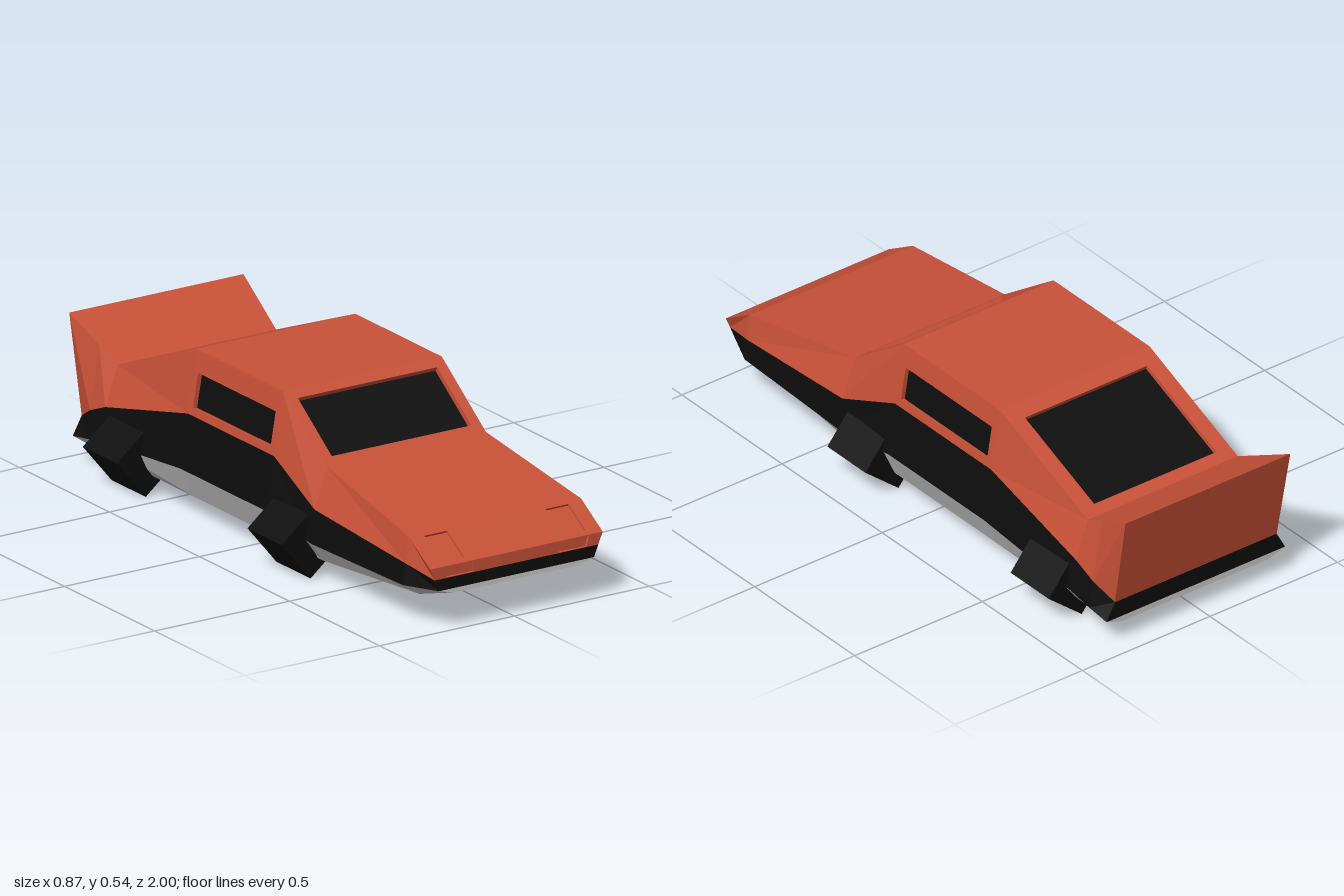
import * as THREE from 'three';

const X0 = 0.008; // body sits a hair off the centre line

// Cross-sections, nose to tail: z, then [half width, y] for
// sill edge, belt bottom, belt top, roof edge
const SECTIONS = [
  [1.0, [0.23, 0.12], [0.288, 0.135], [0.303, 0.173], [0.32, 0.212]],
  [0.88, [0.28, 0.09], [0.34, 0.13], [0.332, 0.2], [0.32, 0.285]],
  [0.39, [0.31, 0.062], [0.354, 0.125], [0.342, 0.235], [0.294, 0.365]],
  [0.145, [0.31, 0.062], [0.355, 0.16], [0.328, 0.335], [0.294, 0.54]],
  [-0.335, [0.31, 0.062], [0.355, 0.16], [0.328, 0.335], [0.294, 0.54]],
  [-0.775, [0.31, 0.062], [0.355, 0.12], [0.34, 0.23], [0.294, 0.36]],
  [-0.86, [0.31, 0.062], [0.355, 0.105], [0.34, 0.195], [0.305, 0.4016]],
  [-0.94, [0.29, 0.07], [0.35, 0.09], [0.317, 0.15], [0.323, 0.47]],
];
const SILL = 0, BELT_LOW = 1, BELT_TOP = 2, ROOF = 3, TAIL = 7;

// Point on the body: section i, line k, side s (+1 / -1)
function P(i, k, s) {
  const [h, y] = SECTIONS[i][k + 1];
  const z = i === TAIL && k === ROOF ? -1 : SECTIONS[i][0]; // tail lip leans back
  return new THREE.Vector3(X0 + s * h, y, z);
}

// Collects flat quads, corners counter-clockwise from outside
class Faces {
  constructor() { this.pos = []; }
  quad(a, b, c, d) {
    for (const p of [a, b, c, a, c, d]) this.pos.push(p.x, p.y, p.z);
  }
  sideQuad(s, a, b, c, d) {
    if (s > 0) this.quad(a, b, c, d);
    else this.quad(a, d, c, b);
  }
  mesh(name, material) {
    const g = new THREE.BufferGeometry();
    g.setAttribute('position', new THREE.Float32BufferAttribute(this.pos, 3));
    g.computeVertexNormals();
    const m = new THREE.Mesh(g, material);
    m.name = name;
    return m;
  }
}

// Panel (bottom left, bottom right, top right, top left) with a recessed opening
function recessedPanel(frame, pane, corners, [u0, u1, v0, v1], depth) {
  const [a, b, c, d] = corners;
  const at = (u, v) => a.clone().lerp(b, u).lerp(d.clone().lerp(c, u), v);
  const normal = c.clone().sub(a).cross(d.clone().sub(b)).normalize();
  const hole = [at(u0, v0), at(u1, v0), at(u1, v1), at(u0, v1)];
  const back = hole.map((p) => p.clone().addScaledVector(normal, -depth));
  for (let i = 0; i < 4; i++) {
    const j = (i + 1) % 4;
    frame.quad(corners[i], corners[j], hole[j], hole[i]);
    frame.quad(hole[i], hole[j], back[j], back[i]);
  }
  pane.quad(...back);
}

export function createModel() {
  const paint = new THREE.MeshStandardMaterial({ color: 0xc95138, flatShading: true });
  const black = new THREE.MeshStandardMaterial({ color: 0x0d0d0d, flatShading: true });
  const grey = new THREE.MeshStandardMaterial({ color: 0xcccccc, flatShading: true });
  const shell = new Faces(), belt = new Faces(), sills = new Faces();
  const floor = new Faces(), glass = new Faces(), lights = new Faces();

  for (let i = 0; i < TAIL; i++) {
    const j = i + 1;
    // Sides: sill, belt and painted upper body
    for (const s of [1, -1]) {
      const strip = (faces, k) =>
        faces.sideQuad(s, P(i, k, s), P(j, k, s), P(j, k + 1, s), P(i, k + 1, s));
      strip(sills, SILL);
      strip(belt, BELT_LOW);
      if (i === 3) { // cabin side window
        const [f, r] = s > 0 ? [i, j] : [j, i];
        recessedPanel(shell, glass,
          [P(f, BELT_TOP, s), P(r, BELT_TOP, s), P(r, ROOF, s), P(f, ROOF, s)],
          [0.052, 0.948, 0.12, 0.66], 0.015);
      } else strip(shell, BELT_TOP);
    }
    // Top: nose with headlights, windscreen, rear window, plain panels
    const top = [P(i, ROOF, -1), P(i, ROOF, 1), P(j, ROOF, 1), P(j, ROOF, -1)];
    if (i === 0) halves(top, [0.163, 0.43, 0.13, 0.93], 0.008);
    else if (i === 2) recessedPanel(shell, glass, top, [0.06, 0.94, 0.115, 0.885], 0.018);
    else if (i === 4) recessedPanel(shell, glass, top, [0.09, 0.905, 0.125, 0.91], 0.015);
    else shell.quad(...top);
    // Underside
    floor.quad(P(i, SILL, 1), P(i, SILL, -1), P(j, SILL, -1), P(j, SILL, 1));
  }

  // Panel split on the centre line, one mirrored light recess per half
  function halves([a, b, c, d], [u0, u1, v0, v1], depth) {
    const low = a.clone().lerp(b, 0.5), high = d.clone().lerp(c, 0.5);
    recessedPanel(shell, lights, [a, low, high, d], [u0, u1, v0, v1], depth);
    recessedPanel(shell, lights, [low, b, c, high], [1 - u1, 1 - u0, v0, v1], depth);
  }

  // Nose and tail ends
  const end = (i, k, s) => [P(i, k, -s), P(i, k, s), P(i, k + 1, s), P(i, k + 1, -s)];
  halves(end(0, BELT_TOP, 1), [0.15, 0.49, 0.05, 0.85], 0.008);
  shell.quad(...end(TAIL, BELT_TOP, -1));
  for (const [i, s] of [[0, 1], [TAIL, -1]]) {
    belt.quad(...end(i, BELT_LOW, s));
    sills.quad(...end(i, SILL, s));
  }

  const car = new THREE.Group();
  car.name = 'car';
  car.add(
    shell.mesh('bodyShell', paint),
    lights.mesh('lightCovers', paint),
    belt.mesh('sideBelt', black),
    sills.mesh('sills', grey),
    floor.mesh('floor', black),
    glass.mesh('windows', black),
  );

  // Block wheels, all tilted the same way about the long axis
  const block = new THREE.BoxGeometry(0.168, 0.168, 0.19);
  for (const [end, z] of [['front', 0.265], ['rear', -0.65]]) {
    for (const [side, x] of [['Left', 0.314], ['Right', -0.317]]) {
      const wheel = new THREE.Mesh(block, black);
      wheel.name = `${end}${side}Wheel`;
      wheel.position.set(x, 0.118, z);
      wheel.rotation.z = THREE.MathUtils.degToRad(39.5);
      car.add(wheel);
    }
  }
  return car;
}
